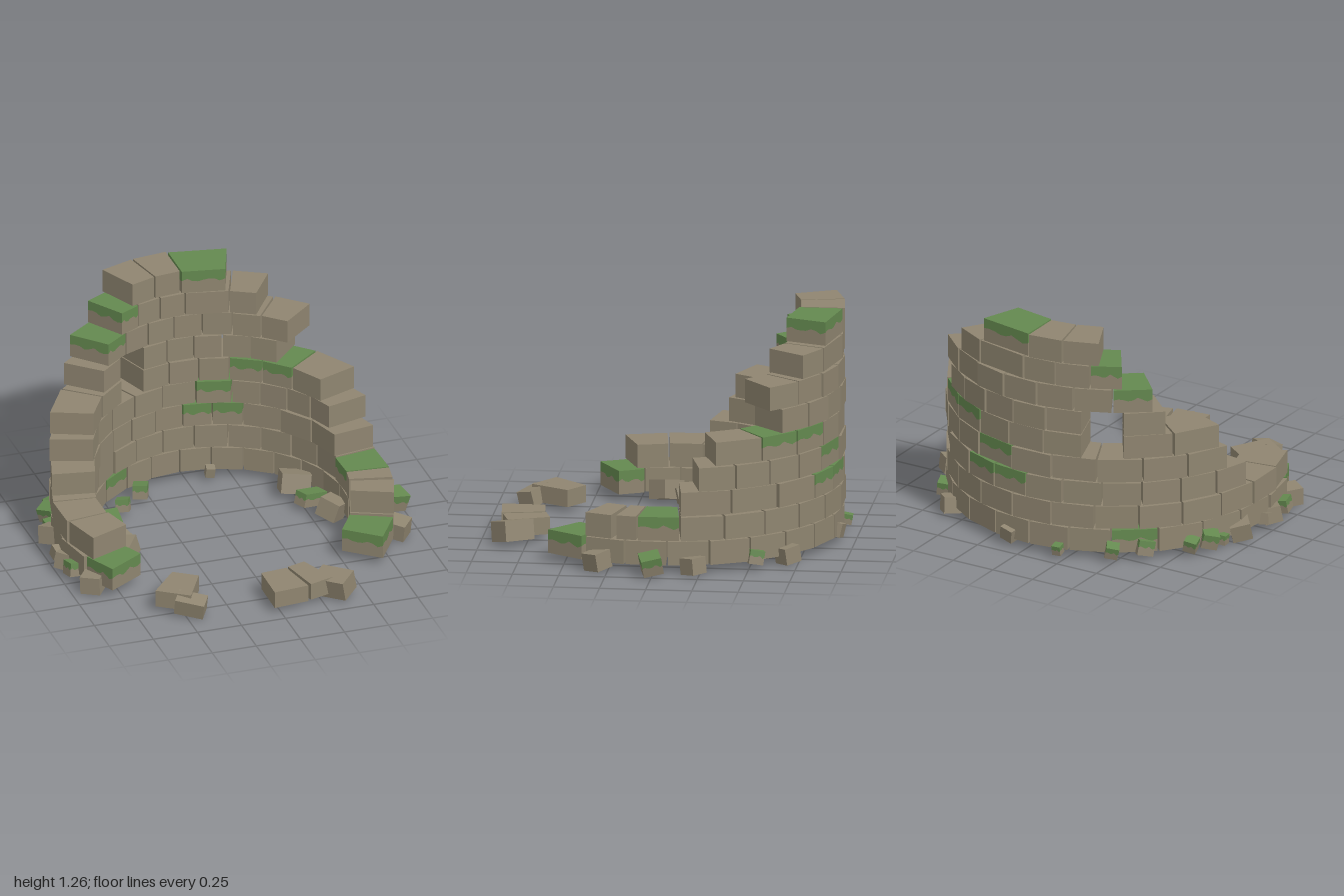
import * as THREE from 'three';

const stone = new THREE.MeshStandardMaterial({ color: 0x8f8570 });
stone.name = 'stone';
const moss = new THREE.MeshStandardMaterial({ color: 0x64894f });
moss.name = 'moss';

const CX = -0.025, INNER = 0.69, OUTER = 0.925;

let seed = 7;
const rand = () => (seed = (seed * 16807) % 2147483647) / 2147483647;
const jitter = (s) => (rand() - 0.5) * 2 * s;

// Four-cornered block; a mossy one has green ends and a wavy green upper band
function block(corners, h, mossy) {
  const stonePos = [], mossPos = [];
  const quad = (out, a, b, c, d) => out.push(...a, ...b, ...c, ...a, ...c, ...d);
  const at = (c, y) => [c[0], y, c[1]];
  const ends = mossy ? mossPos : stonePos;
  const [a, b, c, d] = corners;
  quad(ends, at(a, h), at(b, h), at(c, h), at(d, h));
  quad(ends, at(d, 0), at(c, 0), at(b, 0), at(a, 0));
  corners.forEach((p, i) => {
    const q = corners[(i + 1) % 4];
    if (!mossy) return quad(stonePos, at(p, 0), at(q, 0), at(q, h), at(p, h));
    const n = 8;
    const mix = (k) => [p[0] + (q[0] - p[0]) * k / n, p[1] + (q[1] - p[1]) * k / n];
    const edge = (k) => h * (0.56 + 0.07 * Math.sin(k * Math.PI / 2) + (k % n ? 0.03 * Math.sin(k * 2.3 + i) : 0));
    for (let k = 0; k < n; k++) {
      const s = mix(k), t = mix(k + 1), ys = edge(k), yt = edge(k + 1);
      quad(stonePos, at(s, 0), at(t, 0), at(t, yt), at(s, ys));
      quad(mossPos, at(s, ys), at(t, yt), at(t, h), at(s, h));
    }
  });
  const g = new THREE.BufferGeometry();
  g.setAttribute('position', new THREE.Float32BufferAttribute([...stonePos, ...mossPos], 3));
  g.addGroup(0, stonePos.length / 3, 0);
  if (mossy) g.addGroup(stonePos.length / 3, mossPos.length / 3, 1);
  g.computeVertexNormals();
  return new THREE.Mesh(g, [stone, moss]);
}

// Wedge brick between two angles, measured in degrees from the back toward +x
function brick(a0, a1, y, h, mossy) {
  const gap = 0.35, r = jitter(0.007);
  const pt = (deg, rad) => {
    const t = THREE.MathUtils.degToRad(deg);
    return [CX + (rad + r) * Math.sin(t), -(rad + r) * Math.cos(t)];
  };
  const mesh = block([pt(a0 + gap, INNER), pt(a1 - gap, INNER), pt(a1 - gap, OUTER), pt(a0 + gap, OUTER)], h, mossy);
  mesh.position.y = y;
  mesh.name = mossy ? 'mossyBrick' : 'brick';
  return mesh;
}

// Wall courses from the ground up; each run is [start angle, end angle, bricks, mossy]
const M = true;
const courses = [
  [[-122, -109, 1, M], [-109, -45, 4], [-45, -29, 1, M], [-29, 114, 10], [115, 130, 1, M]],
  [[-113, 81, 13], [81, 95.5, 1, M], [95.5, 103, 1], [104, 114, 1]],
  [[-80, 1, 6], [1, 28, 2, M], [28, 81, 3]],
  [[-71, 7, 5], [7, 23, 1, M], [23, 75, 4]],
  [[-67.6, -33, 2], [-19.3, 22, 3], [22, 52, 2, M], [52, 69.2, 1]],
  [[-47.8, -33, 1], [-19.3, 44.2, 5]],
  [[-43.3, -29.5, 1, M], [-29.5, 49.6, 6]],
  [[-33, -22, 1, M], [-22, 2, 2], [2, 22, 1], [22, 34.6, 1]],
  [[-25.3, 0, 2], [0, 20.6, 1, M]],
];

// Rubble: x, z, width, turn and, where not square, depth
const stoneRubble = [
  [-0.92, -0.19, 0.11, 0.7], [-0.96, -0.01, 0.06, 0.1], [-0.94, 0.09, 0.1, 0.8],
  [-0.88, 0.37, 0.11, -0.6], [0.11, -0.89, 0.08, -0.2], [-0.59, -0.04, 0.1, 0.3, 0.15],
  [-0.61, 0.1, 0.15, -0.65, 0.12], [0.12, -0.64, 0.05, -0.2], [0.49, -0.32, 0.16, -0.15, 0.13],
  [0.58, 0.01, 0.12, -0.8], [0.6, -0.7, 0.1, -0.8], [0.9, -0.22, 0.1, -0.7],
  [0.87, 0.3, 0.11, -0.7], [-0.47, 0.79, 0.16, -0.55, 0.1], [0.345, 0.82, 0.13, 0.75, 0.19],
];
const mossyRubble = [
  [-0.21, -0.92, 0.05, 0.1], [-0.48, -0.82, 0.07, 0.5], [-0.61, -0.7, 0.09, 0.8],
  [-0.8, -0.52, 0.07, 0.2], [-0.85, -0.43, 0.09, 0.7], [-0.89, -0.34, 0.05, 0.1],
  [-0.94, 0.21, 0.08, 0.2], [-0.31, -0.52, 0.08, -0.4], [-0.45, -0.39, 0.07, -0.5],
  [-0.57, -0.21, 0.1, -0.1, 0.18], [0.53, -0.17, 0.16, 0.45, 0.08], [0.51, -0.46, 0.06, -0.7],
  [0.74, -0.53, 0.08, 0.3], [0.94, 0, 0.11, 0.25],
];

// One tilted stone, lowered until it nearly touches the ground
function rock([x, z, w, turn, d = w], mossy) {
  const u = w / 2, v = d / 2;
  const mesh = block([[-u, v], [u, v], [u, -v], [-u, -v]], 0.02 + 0.7 * Math.min(w, d), mossy);
  mesh.name = mossy ? 'mossyRubble' : 'rubble';
  mesh.rotation.set(jitter(0.25), turn, jitter(0.25), 'YXZ');
  mesh.position.set(x, 0, z);
  const low = new THREE.Box3().setFromObject(mesh, true).min.y;
  mesh.position.y = (w > 0.09 ? 0 : 0.02) - low;
  return mesh;
}

export function createModel() {
  const tower = new THREE.Group();
  tower.name = 'ruinedTower';

  // Curved wall, stepped at both ends, with a window two courses tall
  courses.forEach((runs, i) => {
    const course = new THREE.Group();
    course.name = 'wallCourse' + (i + 1);
    for (const [from, to, count, mossy = false] of runs) {
      const step = (to - from) / count;
      for (let k = 0; k < count; k++) {
        course.add(brick(from + k * step, from + (k + 1) * step, 0.045 + i * 0.1362, 0.13, mossy));
      }
    }
    tower.add(course);
  });

  // Remaining foundation bricks across the broken front
  for (const [a0, a1] of [[-151.5, -138.5], [158, 167.5], [168, 181]]) {
    const base = brick(a0, a1, 0.03, 0.095, false);
    base.name = 'foundationBrick';
    tower.add(base);
  }

  // Rubble around the foot of the wall
  tower.add(...stoneRubble.map((r) => rock(r, false)), ...mossyRubble.map((r) => rock(r, true)));
  return tower;
}
